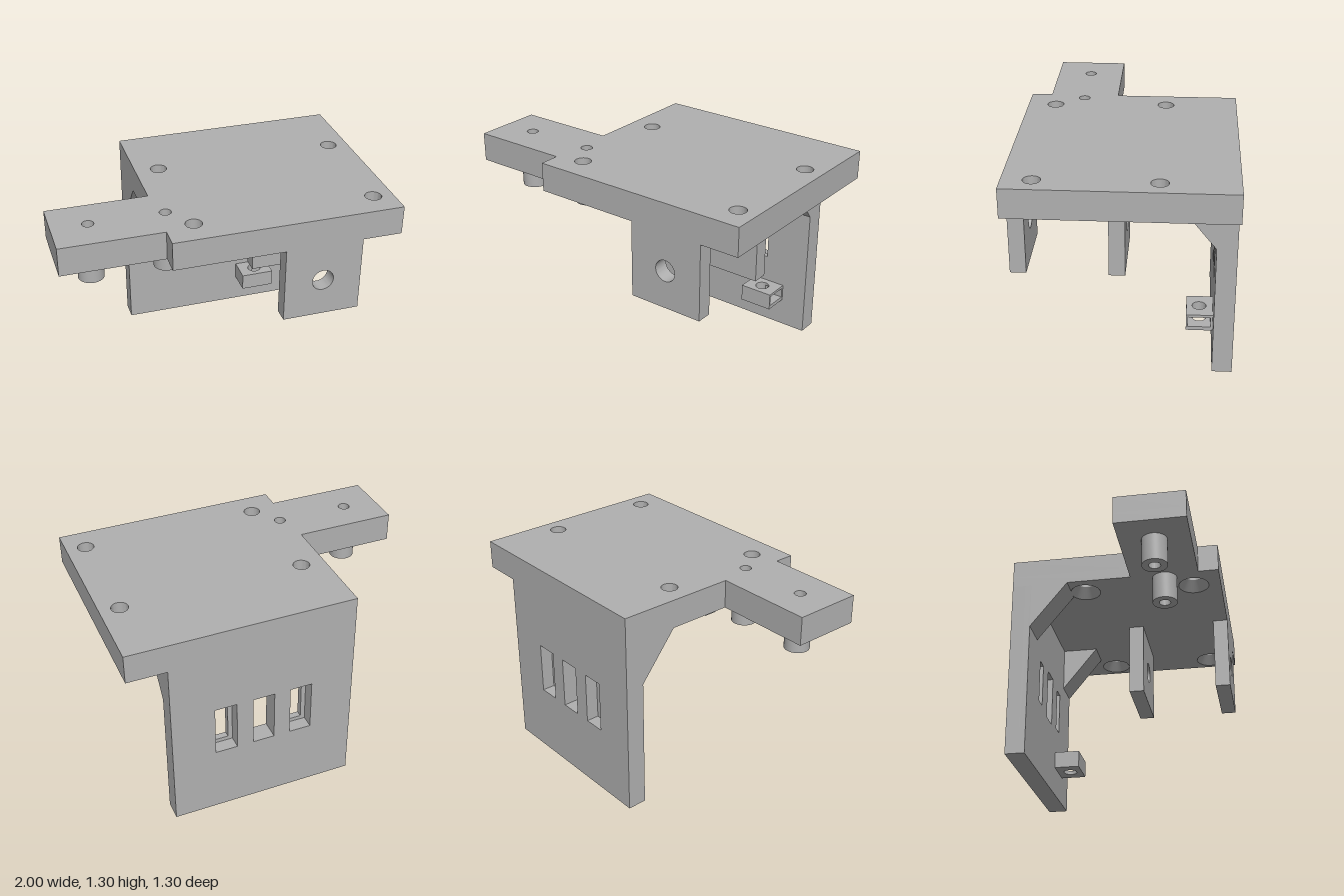
import * as THREE from 'three';
import { toCreasedNormals } from 'three/addons/utils/BufferGeometryUtils.js';

const grey = new THREE.MeshStandardMaterial({ color: 0xb0b0b0 });
grey.name = 'grey plastic';

const polygon = (pts) => new THREE.Shape(pts.map(([a, b]) => new THREE.Vector2(a, b)));
const rect = (x0, x1, y0, y1) => polygon([[x0, y0], [x1, y0], [x1, y1], [x0, y1]]);
const circle = (x, y, r) => new THREE.Shape().absarc(x, y, r, 0, Math.PI * 2, false);

function extrude(shape, holes, depth) {
  shape.holes.push(...holes);
  const geo = new THREE.ExtrudeGeometry(shape, { depth, bevelEnabled: false, curveSegments: 24 });
  return toCreasedNormals(geo, 0.6);
}

// Outline in x, y, running from z0 to z1
const upright = (shape, holes, z0, z1) => extrude(shape, holes, z1 - z0).translate(0, 0, z0);
// Outline in x, -z, running from y0 to y1
const slab = (shape, holes, y0, y1) => extrude(shape, holes, y1 - y0).rotateX(-Math.PI / 2).translate(0, y0, 0);
// Outline in z, y, running from x0 to x1
const sideways = (shape, x0, x1) => extrude(shape, [], x1 - x0).rotateY(-Math.PI / 2).translate(x1, 0, 0);

export function createModel() {
  const model = new THREE.Group();
  model.name = 'mountingBracket';
  const add = (name, geo) => {
    const mesh = new THREE.Mesh(geo, grey);
    mesh.name = name;
    model.add(mesh);
    return mesh;
  };

  // Top plate with side tab, screw holes countersunk from below
  const outline = () => polygon([
    [-1, -0.525], [-0.385, -0.525], [-0.385, -0.65], [1, -0.65],
    [1, 0.65], [-0.385, 0.65], [-0.385, -0.1], [-1, -0.1],
  ]);
  const screws = [[-0.24, -0.21], [0.88, -0.21], [-0.215, 0.48], [0.88, 0.48]];
  const posts = [[-0.785, 0.31], [-0.335, 0.31]];
  const plateHoles = (r) => [
    ...screws.map(([x, z]) => circle(x, -z, r)),
    ...posts.map(([x, z]) => circle(x, -z, 0.035)),
  ];
  const bottom = 1.123, sink = 1.19;
  add('topPlate', slab(outline(), plateHoles(0.05), sink, 1.3));
  add('topPlateUnderside', slab(outline(), plateHoles(0.095), bottom, sink));
  for (const [x, z] of screws) {
    const cone = [new THREE.Vector2(0.05, sink), new THREE.Vector2(0.095, bottom)];
    add('countersink', new THREE.LatheGeometry(cone, 40)).position.set(x, 0, z);
  }

  // Hollow posts under the tab
  for (const [x, z] of posts) {
    add('post', slab(circle(x, -z, 0.077), [circle(x, -z, 0.035)], 0.95, bottom));
  }

  // Back wall, outer windows stepped wider towards the back
  const wall = () => rect(-0.385, 0.76, 0, bottom);
  const middle = () => rect(0.12, 0.255, 0.435, 0.76);
  add('backWallFront', upright(wall(),
    [rect(-0.09, -0.01, 0.46, 0.735), middle(), rect(0.385, 0.465, 0.46, 0.735)], -0.57, -0.53));
  add('backWallRear', upright(wall(),
    [rect(-0.118, 0.018, 0.435, 0.76), middle(), rect(0.357, 0.493, 0.435, 0.76)], -0.65, -0.57));

  // Corner gussets
  for (const [x0, x1] of [[-0.385, -0.19], [0.57, 0.76]]) {
    add('gusset', sideways(polygon([[-0.53, 0.835], [-0.3, bottom], [-0.53, bottom]]), x0, x1));
  }

  // Pair of hanging lugs with pivot holes
  for (const [z0, z1] of [[0.555, 0.65], [-0.015, 0.08]]) {
    add('hangingLug', upright(rect(0.285, 0.76, 0.647, bottom), [circle(0.522, 0.885, 0.066)], z0, z1));
  }

  // Small nut holder: floor, slotted middle and roof
  const cx = 0.487, cz = 0.448, r = 0.043;
  const holder = () => rect(0.38, 0.595, 0.37, 0.53);
  add('nutHolderFloor', slab(holder(), [circle(cx, cz, r)], 0.18, 0.205));
  add('nutHolderRoof', slab(holder(), [circle(cx, cz, r)], 0.27, 0.287));
  const slot = new THREE.Shape();
  slot.moveTo(0.595, 0.38).lineTo(0.595, 0.37).lineTo(0.38, 0.37).lineTo(0.38, 0.53);
  slot.lineTo(0.595, 0.53).lineTo(0.595, 0.518).lineTo(cx, 0.518).lineTo(cx, cz + r);
  slot.absarc(cx, cz, r, Math.PI / 2, Math.PI * 1.5, false);
  slot.lineTo(cx, 0.38).lineTo(0.595, 0.38);
  add('nutHolderSlot', slab(slot, [], 0.205, 0.27));

  return model;
}
